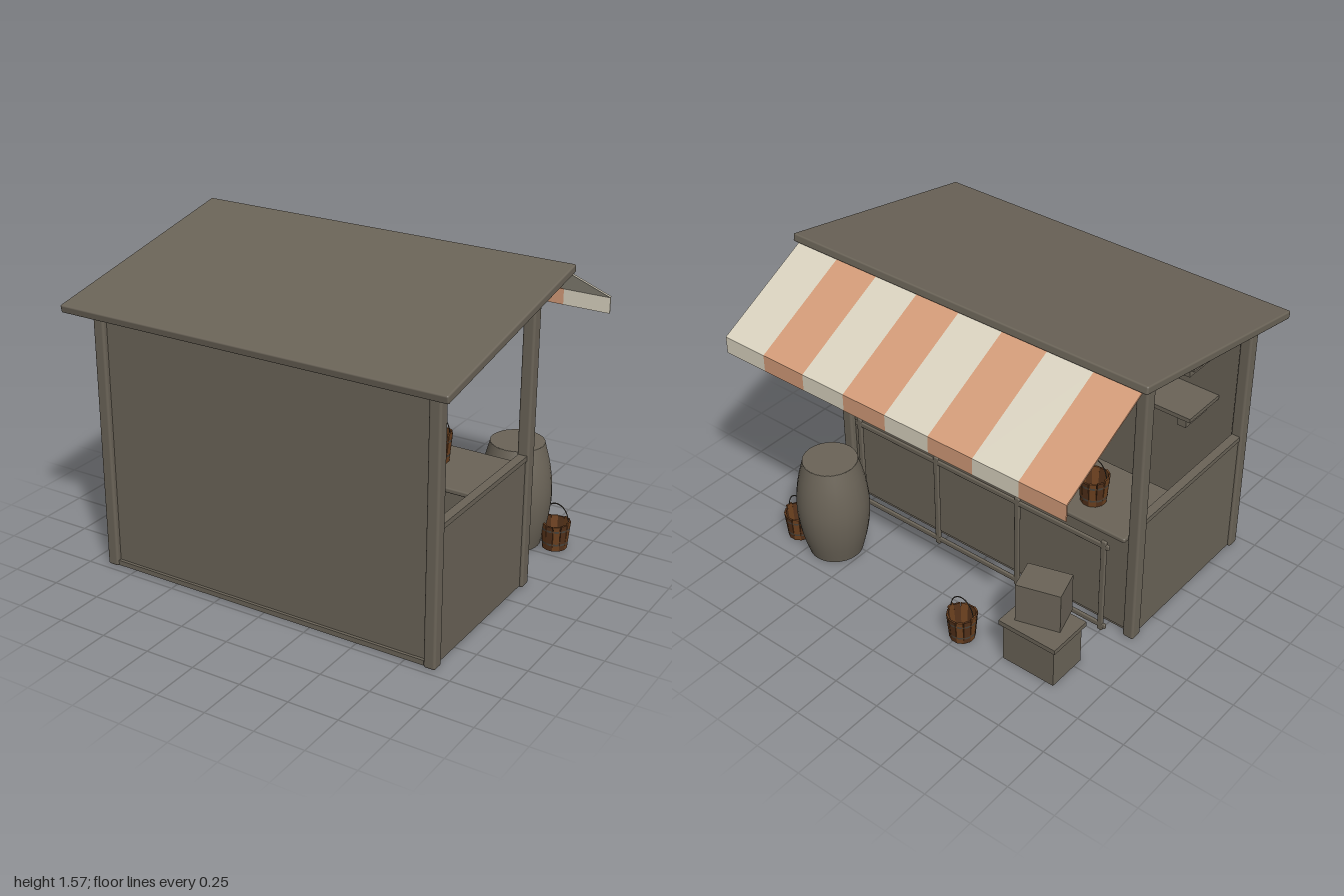
import * as THREE from 'three';
import { RoundedBoxGeometry } from 'three/addons/geometries/RoundedBoxGeometry.js';

const mat = (name, color, side = THREE.FrontSide) => {
  const m = new THREE.MeshStandardMaterial({ color, side });
  m.name = name;
  return m;
};

export function createModel() {
  const root = new THREE.Group();
  root.name = 'marketStall';
  const timber = mat('weathered timber', 0x6b6458);
  const orange = mat('orange cloth', 0xd49c79);
  const cream = mat('cream cloth', 0xdad3c0);
  const bucketWood = mat('bucket wood', 0x6e4220);
  const bucketDark = mat('dark bucket wood', 0x54321a);
  const metal = mat('iron', 0x4a443c);
  const clay = mat('bowl clay', 0xc58a66, THREE.DoubleSide);

  const add = (parent, name, geometry, material, x = 0, y = 0, z = 0) => {
    const m = new THREE.Mesh(geometry, material);
    m.name = name;
    m.position.set(x, y, z);
    parent.add(m);
    return m;
  };
  // Box given by its extents on each axis
  const box = (name, x0, x1, y0, y1, z0, z1, material = timber, r = 0) => {
    const s = [x1 - x0, y1 - y0, z1 - z0];
    const g = r ? new RoundedBoxGeometry(...s, 2, r) : new THREE.BoxGeometry(...s);
    return add(root, name, g, material, (x0 + x1) / 2, (y0 + y1) / 2, (z0 + z1) / 2);
  };

  // Floor, closed wall with rails, and the four posts
  box('floor', -0.87, 0.87, 0.005, 0.025, -0.16, 0.69);
  box('wall', -0.86, 0.86, 0.02, 1.29, 0.67, 0.695);
  box('wallBottomRail', -0.86, 0.86, 0.005, 0.03, 0.665, 0.71);
  box('wallTopRail', -0.86, 0.86, 1.27, 1.325, 0.665, 0.715, timber, 0.01);
  box('openSideTopRail', -0.86, 0.86, 1.43, 1.48, -0.185, -0.135, timber, 0.01);
  for (const s of [-1, 1]) {
    const a = s * 0.88;
    box('wallPost', a - 0.03, a + 0.03, 0, 1.335, 0.658, 0.72, timber, 0.012);
    box('servingPost', a - 0.03, a + 0.03, 0, 1.5, -0.195, -0.13, timber, 0.012);
    // Half-height side panel with a cap
    box('sidePanel', a - 0.015, a + 0.015, 0.01, 0.67, -0.135, 0.66);
    box('sidePanelCap', a - 0.022, a + 0.022, 0.665, 0.69, -0.135, 0.655);
  }

  // Sloping roof
  const roof = add(root, 'roof', new RoundedBoxGeometry(2, 0.04, 1.19, 2, 0.008), timber, 0, 1.445, 0.245);
  roof.rotation.x = 0.185;

  // Counter with its outer frame
  box('counterTop', -0.85, 0.85, 0.58, 0.606, -0.22, 0.2, timber, 0.008);
  box('counterFront', -0.85, 0.85, 0.02, 0.58, -0.165, -0.14);
  for (const x of [-0.75, -0.25, 0.25, 0.75])
    box('frameStile', x - 0.014, x + 0.014, 0.01, 0.555, -0.241, -0.224, timber, 0.005);
  for (const y of [0.04, 0.525])
    box('frameRail', -0.78, 0.78, y - 0.014, y + 0.014, -0.24, -0.225, timber, 0.005);

  // Two shelves on brackets
  for (const y of [0.865, 1.155]) {
    box('shelf', -0.76, 0.76, y - 0.022, y, 0.42, 0.67);
    for (const x of [-0.7, 0, 0.7])
      box('shelfBracket', x - 0.025, x + 0.025, y - 0.08, y - 0.02, 0.445, 0.63);
    box('shelfBatten', -0.74, 0.74, y - 0.05, y - 0.02, 0.645, 0.672);
  }

  // Striped awning: sloping cloth, then a hanging edge
  const stripe = 1.94 / 8;
  const profile = new THREE.Shape([
    [-0.33, 1.536], [-0.838, 1.266], [-0.838, 1.18], [-0.831, 1.18], [-0.831, 1.26], [-0.33, 1.527],
  ].map(([z, y]) => new THREE.Vector2(-z, y)));
  const stripeGeo = new THREE.ExtrudeGeometry(profile, { depth: stripe, bevelEnabled: false });
  stripeGeo.rotateY(Math.PI / 2);
  for (let i = 0; i < 8; i++)
    add(root, 'awningStripe', stripeGeo, i % 2 ? cream : orange, -0.97 + i * stripe, 0, 0);

  // Barrel
  const barrelSide = new THREE.SplineCurve([
    [0.135, 0], [0.167, 0.13], [0.181, 0.272], [0.167, 0.415], [0.135, 0.545],
  ].map(p => new THREE.Vector2(...p))).getPoints(12);
  add(root, 'barrel', new THREE.LatheGeometry(barrelSide, 28), timber, 0.65, 0, -0.555);
  const lid = new THREE.CircleGeometry(0.136, 28);
  add(root, 'barrelTop', lid, timber, 0.65, 0.544, -0.555).rotation.x = -Math.PI / 2;
  add(root, 'barrelBottom', lid, timber, 0.65, 0.001, -0.555).rotation.x = Math.PI / 2;

  // Stacked crates
  box('lowerCrate', -0.795, -0.505, 0, 0.215, -0.66, -0.45);
  box('lowerCrateLid', -0.81, -0.49, 0.215, 0.24, -0.675, -0.435);
  const upper = box('upperCrate', -0.74, -0.52, 0.24, 0.455, -0.6, -0.44);
  upper.rotation.y = 0.29;

  // Buckets made of leaning staves, hoops and a wire handle
  const N = 12;
  const addBucket = (x, y, z) => {
    const b = new THREE.Group();
    b.name = 'bucket';
    b.position.set(x, y, z);
    for (let i = 0; i < N; i++) {
      const spin = new THREE.Group();
      spin.name = 'staveMount';
      spin.rotation.y = (i / N) * Math.PI * 2;
      const h = i % 6 === 0 ? 0.152 : 0.136 + (i % 3) * 0.003;
      const g = new THREE.BoxGeometry(0.009, h, 0.033).translate(0, h / 2, 0);
      add(spin, 'stave', g, i % 2 ? bucketDark : bucketWood, 0.056, 0, 0).rotation.z = -0.09;
      b.add(spin);
    }
    add(b, 'bucketBase', new THREE.CylinderGeometry(0.057, 0.056, 0.012, N), bucketDark, 0, 0.012, 0);
    for (const [hy, r] of [[0.035, 0.065], [0.11, 0.0715]])
      add(b, 'hoop', new THREE.CylinderGeometry(r + 0.001, r, 0.011, 24, 1, true), metal, 0, hy, 0);
    const handle = add(b, 'handle', new THREE.TorusGeometry(0.068, 0.0025, 5, 18, Math.PI), metal, 0, 0.14, 0);
    handle.scale.y = 1.4;
    root.add(b);
  };
  [
    [0.856, 0, -0.6], [-0.26, 0, -0.66],
    [0.48, 0.606, -0.04], [-0.275, 0.606, 0.01], [-0.57, 0.606, -0.07],
    [-0.29, 0.865, 0.54], [0.32, 0.865, 0.545], [0.065, 1.155, 0.545],
  ].forEach(p => addBucket(...p));

  // Small round bowls
  const bowlGeo = new THREE.LatheGeometry([
    [0, 0], [0.025, 0.001], [0.045, 0.02], [0.054, 0.05], [0.049, 0.05], [0.04, 0.024], [0, 0.012],
  ].map(p => new THREE.Vector2(...p)), 20);
  const rimGeo = new THREE.TorusGeometry(0.052, 0.004, 5, 20).rotateX(Math.PI / 2);
  [[0.33, 0.606, 0.05], [0.15, 0.606, -0.04], [-0.02, 0.606, 0.03], [0.3, 1.155, 0.545]].forEach(p => {
    add(root, 'bowl', bowlGeo, clay, ...p);
    add(root, 'bowlRim', rimGeo, bucketWood, p[0], p[1] + 0.05, p[2]);
  });
  return root;
}
